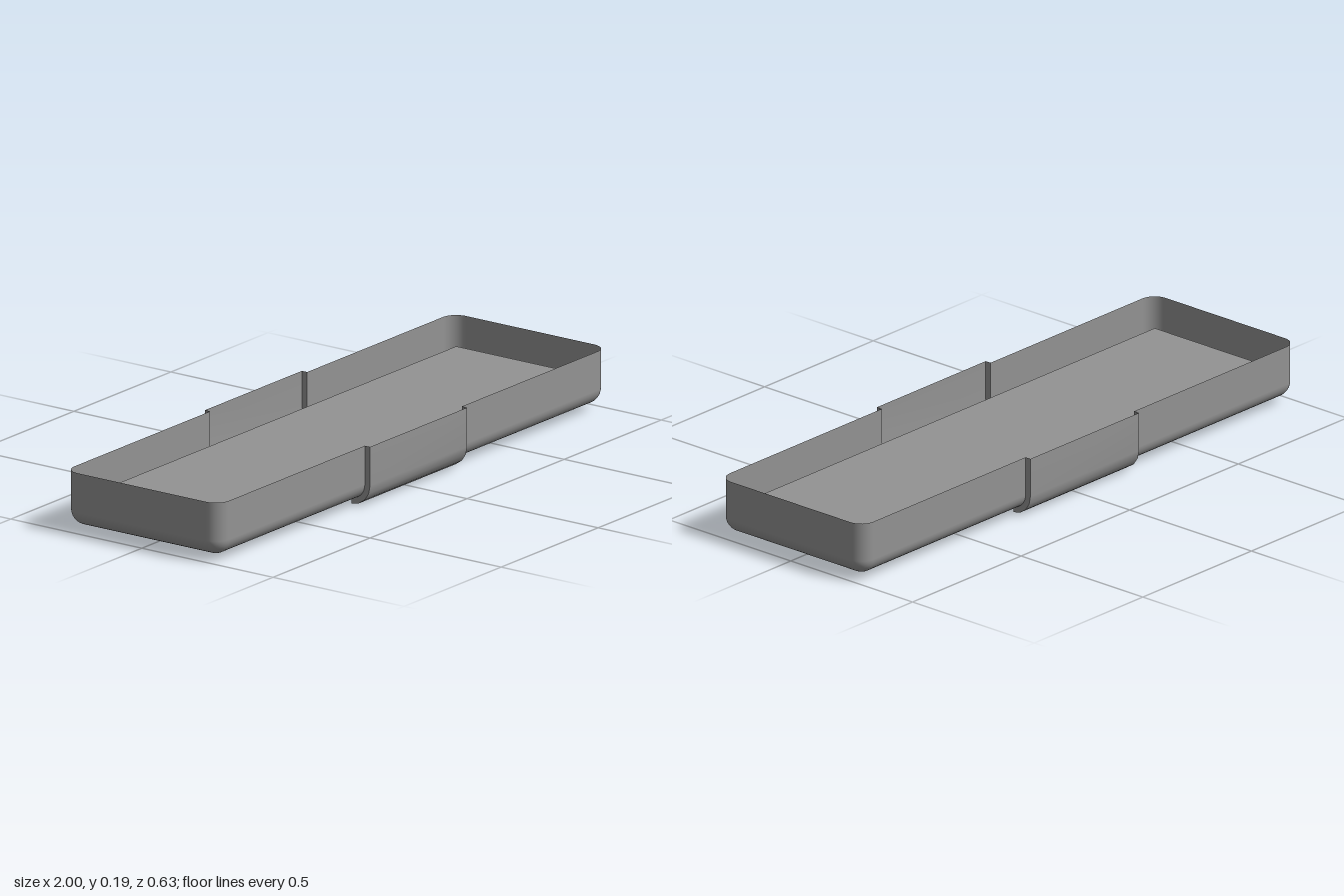
import * as THREE from 'three';
import { toCreasedNormals } from 'three/addons/utils/BufferGeometryUtils.js';

const HX = 0.95, HZ = 0.245;        // half size of the inner box = corner centres of the shell
const R = 0.05, BASE = 0.02, TOP = 0.195;
const CLIP_R = 0.07, CLIP_X = 0.25; // clip bend radius and half width

const grey = new THREE.MeshStandardMaterial({ color: 0x939393, side: THREE.DoubleSide });

function part(name, geometry) {
  const mesh = new THREE.Mesh(geometry, grey);
  mesh.name = name;
  return mesh;
}

function buffer(pos, nor) {
  const g = new THREE.BufferGeometry();
  g.setAttribute('position', new THREE.Float32BufferAttribute(pos, 3));
  g.setAttribute('normal', new THREE.Float32BufferAttribute(nor, 3));
  return g;
}

// Removes the triangles for which test(normal, centre) is true
function dropFaces(geometry, test) {
  const g = geometry.index ? geometry.toNonIndexed() : geometry;
  const p = g.attributes.position, n = g.attributes.normal;
  const pos = [], nor = [];
  for (let i = 0; i < p.count; i += 3) {
    const [a, b, c] = [0, 1, 2].map(k => new THREE.Vector3().fromBufferAttribute(p, i + k));
    const tri = new THREE.Triangle(a, b, c);
    if (test(tri.getNormal(new THREE.Vector3()), tri.getMidpoint(new THREE.Vector3()))) continue;
    for (let k = i; k < i + 3; k++) {
      pos.push(p.getX(k), p.getY(k), p.getZ(k));
      nor.push(n.getX(k), n.getY(k), n.getZ(k));
    }
  }
  return buffer(pos, nor);
}

// Rounded wall that curls inward at the bottom, with a gap on each long side for the clips
function shellGeometry() {
  const steps = 8, outline = [], pos = [], nor = [], idx = [];
  for (let c = 0; c < 4; c++) {
    const cx = (c === 0 || c === 3) ? HX : -HX, cz = c < 2 ? HZ : -HZ;
    for (let k = 0; k <= steps; k++) outline.push({ cx, cz, a: (c + k / steps) * Math.PI / 2 });
    if (c % 2 === 0) {
      for (const s of [1, -1]) {
        outline.push({ cx: Math.sign(cx) * s * CLIP_X, cz, a: (c + 1) * Math.PI / 2, gap: s === 1 });
      }
    }
  }
  const rings = [[0, TOP]];
  for (let i = 0; i <= steps; i++) rings.push([(i / steps) * Math.PI / 2, BASE + R]);
  for (const [phi, y] of rings) {
    for (const { cx, cz, a } of outline) {
      const n = [Math.cos(a) * Math.cos(phi), -Math.sin(phi), Math.sin(a) * Math.cos(phi)];
      pos.push(cx + R * n[0], y + R * n[1], cz + R * n[2]);
      nor.push(...n);
    }
  }
  const m = outline.length;
  for (let r = 0; r < rings.length - 1; r++) {
    for (let k = 0; k < m; k++) {
      if (outline[k].gap) continue;
      const a = r * m + k, b = r * m + (k + 1) % m;
      idx.push(a, b, a + m, b, b + m, a + m);
    }
  }
  const g = buffer(pos, nor);
  g.setIndex(idx);
  return g;
}

// Bulging clip that fills the gap in the wall: outer skin, stepped ends and bottom lip
function clipGeometry() {
  const s = new THREE.Shape(), cy = BASE + R;
  const arc = (r, n, i) => {
    const a = (i / n) * Math.PI / 2;
    s.lineTo(HZ + r * Math.cos(a), cy - r * Math.sin(a));
  };
  s.moveTo(HZ + R, TOP);
  for (let i = 0; i <= 8; i++) arc(R, 8, i);
  for (let i = 4; i >= 0; i--) arc(CLIP_R, 4, i);
  s.lineTo(HZ + CLIP_R, cy + 0.01);
  s.lineTo(HZ + CLIP_R, TOP);
  const g = new THREE.ExtrudeGeometry(s, { depth: CLIP_X * 2, bevelEnabled: false });
  g.translate(0, 0, -CLIP_X);
  g.rotateY(-Math.PI / 2);
  // Leave out the top and the inner skin
  return dropFaces(toCreasedNormals(g, 0.6),
    (n, c) => Math.abs(n.x) < 0.5 && n.y > n.z && c.z > HZ + 0.001);
}

export function createModel() {
  const model = new THREE.Group();
  model.name = 'lightFixture';

  model.add(part('shell', shellGeometry()));

  // Inner housing, open at the bottom
  const panelY = 0.11, h = panelY - BASE;
  const box = new THREE.BoxGeometry(HX * 2, h, HZ * 2).translate(0, BASE + h / 2, 0);
  model.add(part('housing', dropFaces(box, n => n.y < -0.9)));

  // Clips on the front and back
  const clip = clipGeometry();
  for (const side of ['front', 'back']) {
    const mesh = part(side + 'Clip', clip);
    if (side === 'back') mesh.rotation.y = Math.PI;
    model.add(mesh);
  }

  // Two lamp tubes with end sockets
  const capL = 0.05;
  for (const [name, z] of [['frontLamp', 0.15], ['backLamp', -0.15]]) {
    const lamp = new THREE.Group();
    lamp.name = name;
    lamp.position.set(0, 0.062, z);
    lamp.add(part('tube', new THREE.CylinderGeometry(0.033, 0.033, (HX - capL) * 2, 24, 1, true).rotateZ(Math.PI / 2)));
    for (const s of [-1, 1]) {
      const cap = part('socket', new THREE.CylinderGeometry(0.038, 0.038, capL, 24).rotateZ(Math.PI / 2));
      cap.position.x = s * (HX - capL / 2 - 0.002);
      lamp.add(cap);
    }
    model.add(lamp);
  }
  return model;
}
